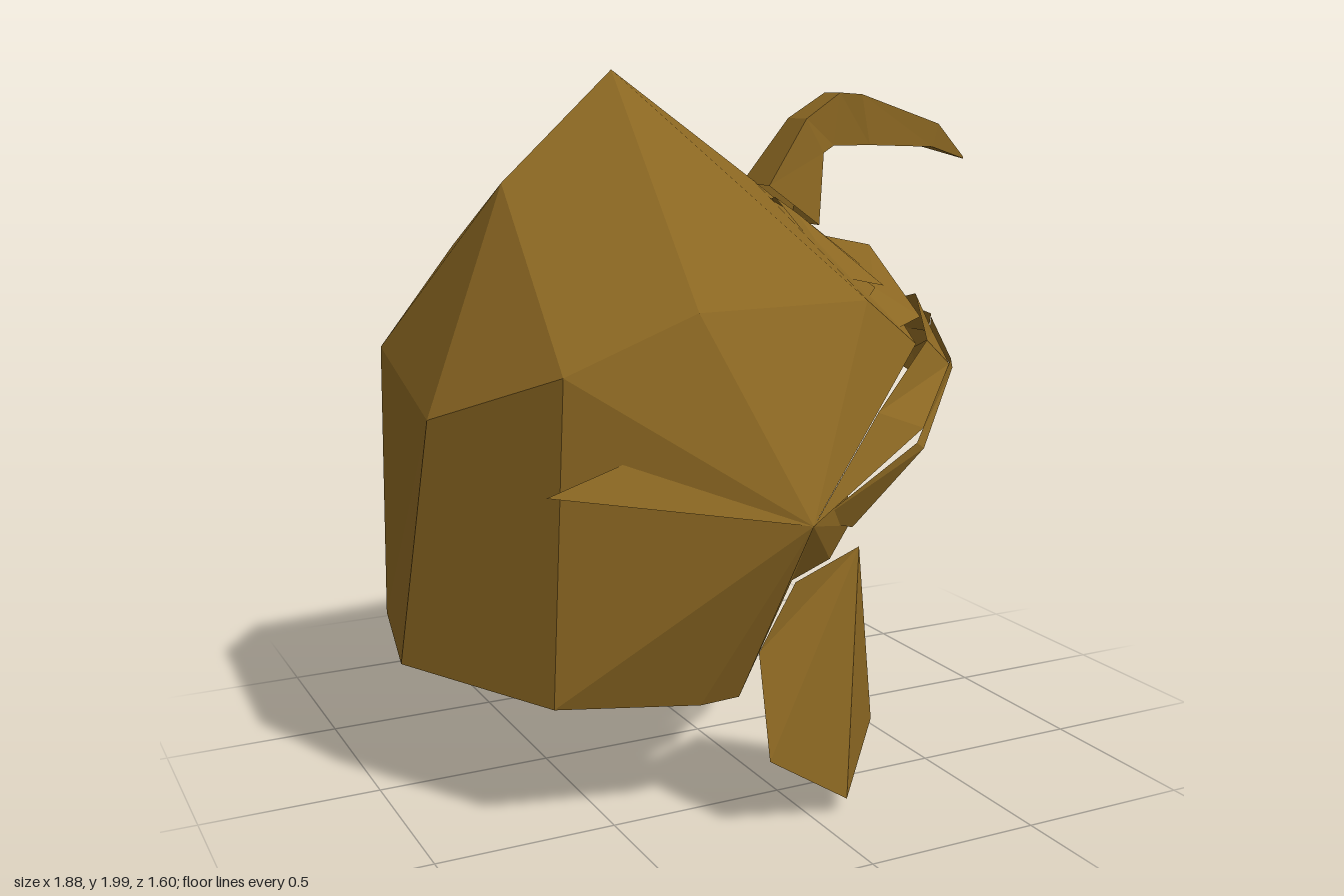
import * as THREE from 'three';

const bronze = new THREE.MeshStandardMaterial({ color: 0x8b6722, flatShading: true, side: THREE.DoubleSide });
bronze.name = 'bronze';

// Builds a faceted mesh from a list of triangles, each of three [x, y, z] corners.
function facets(name, tris) {
  const solid = tris.filter(([a, b, c]) => a !== b && b !== c && a !== c);
  const geo = new THREE.BufferGeometry();
  geo.setAttribute('position', new THREE.Float32BufferAttribute(solid.flat(2), 3));
  geo.computeVertexNormals();
  const mesh = new THREE.Mesh(geo, bronze);
  mesh.name = name;
  return mesh;
}

// Joins neighbouring sections with quads; shared corners collapse to triangles.
function loft(sections) {
  const tris = [];
  for (let i = 0; i + 1 < sections.length; i++) {
    const a = sections[i], b = sections[i + 1];
    for (let j = 0; j + 1 < Math.min(a.length, b.length); j++) {
      tris.push([a[j], a[j + 1], b[j + 1]], [a[j], b[j + 1], b[j]]);
    }
  }
  return tris;
}

// Triangles from a hub to every edge of a path.
function fan(hub, path) {
  return path.slice(1).map((p, i) => [hub, path[i], p]);
}

export function createModel() {
  const helmet = new THREE.Group();
  helmet.name = 'helmet';

  // Shell: columns from the crown down, going round from the front by +z to -z
  const crown = [-0.26, 2, -0.02];
  const forehead = [0.2, 1.68, -0.03], foreheadL = [0.28, 1.38, 0.48];
  const upperL = [-0.28, 1.39, 0.57], upperBack = [-0.62, 1.7, 0.06];
  const upperBackR = [-0.6, 1.49, -0.43], upperR = [0.08, 1.41, -0.58];
  const brow = [0.62, 1.36, 0], browL = [0.47, 1.24, 0.44], browR = [0.74, 1.25, -0.25];
  const templeL = [-0.07, 0.86, 0.8], templeR = [0, 0.77, -0.73];
  const earL = [-0.63, 1.24, 0.51], earR = [-0.4, 1.12, -0.72];
  const cheekR = [0.69, 0.88, -0.53];
  const rimL = [-0.28, 0.34, 0.58], rimBackL = [-0.67, 0.37, 0.51], rimR = [-0.26, 0.35, -0.68];
  helmet.add(facets('shell', loft([
    [crown, forehead, brow],
    [crown, foreheadL, browL],
    [crown, upperL, templeL, rimL],
    [crown, upperL, earL, rimBackL],
    [crown, upperBack, earL, rimBackL],
    [crown, upperBack, [-0.89, 1.1, 0.2], [-0.94, 0.39, 0.05]],
    [crown, upperBackR, [-0.83, 1.2, -0.43], [-0.84, 0.38, -0.44]],
    [crown, upperBackR, earR, [-0.37, 0.36, -0.72]],
    [crown, upperR, earR, rimR],
    [crown, upperR, templeR, rimR],
    [crown, upperR, cheekR],
    [crown, forehead, browR],
    [crown, forehead, brow],
  ])));

  // Inward rim and the small strap joint on the left
  helmet.add(facets('rim', fan(templeL, [
    rimL, [-0.16, 0.34, 0.57], [-0.04, 0.67, 0.64], [0.1, 0.7, 0.6], [0.17, 0.78, 0.58], [0.14, 0.9, 0.62],
  ])));

  // Pointed wing behind the temple, with its inner plate
  helmet.add(facets('templeWing', [
    [[-0.7, 0.95, 0.56], [-0.5, 1.02, 0.58], templeL],
    [[0.3, 1.2, 0.5], [-0.32, 0.87, 0.56], templeL],
  ]));

  // Brow band sweeping from the temple round to the front
  helmet.add(facets('browBand', loft([
    [templeL, templeL],
    [[0.22, 1.1, 0.64], [0.38, 1.04, 0.62]],
    [[0.5, 1.25, 0.45], [0.6, 1.17, 0.42]],
    [[0.66, 1.34, 0.15], [0.72, 1.22, 0.16]],
    [browR, [0.76, 1.2, -0.12]],
  ])));
  helmet.add(facets('lowerBand', loft([
    [[0.0, 0.84, 0.7], [0.17, 0.78, 0.6]],
    [[0.36, 1.0, 0.62], [0.39, 0.98, 0.61]],
    [[0.62, 1.18, 0.4], [0.64, 1.15, 0.38]],
    [[0.74, 1.26, 0.12], [0.77, 1.2, 0.07]],
  ])));

  // Slanted brow plate
  const plateTip = [0.09, 1.22, 0.56];
  helmet.add(facets('browPlate', loft([
    [plateTip, plateTip],
    [[0.45, 1.38, 0.25], [0.55, 1.3, 0.34]],
    [[0.56, 1.49, -0.36], [0.74, 1.45, -0.24]],
  ])));

  // Face guard hanging from the brow, and its plate running back to the right cheek
  const guardTop = [0.74, 1.27, 0.12], guardTip = [0.77, 1.05, 0.03];
  helmet.add(facets('faceGuard', fan([0.79, 1.13, -0.06], [
    guardTop, guardTip, [0.78, 1.1, -0.2], browR, [0.72, 1.3, -0.1], guardTop,
  ])));
  helmet.add(facets('guardPlate', [[cheekR, [0.75, 1.21, 0.15], browR]]));

  // Crest mount
  const mount = [
    [0.2, 1.64, 0.1], [0.32, 1.42, 0.27], [0.5, 1.38, 0.22], [0.6, 1.38, 0.02],
    [0.48, 1.42, -0.2], [0.25, 1.6, -0.12], [0.2, 1.64, 0.1],
  ];
  helmet.add(facets('crestMount', fan([0.34, 1.58, -0.01], mount)));

  // Curved horn: outer point, inner point and half width of each boxy section
  const horn = [
    [0.2, 1.67, 0.37, 1.55, 0.085],
    [0.34, 1.86, 0.4, 1.76, 0.055],
    [0.46, 1.935, 0.44, 1.78, 0.045],
    [0.53, 1.93, 0.56, 1.78, 0.055],
    [0.82, 1.84, 0.8, 1.77, 0.035],
    [0.94, 1.735, 0.94, 1.73, 0.002],
  ].map(([ox, oy, ix, iy, w]) => {
    const outer = [ox, oy, -0.02 + w];
    return [outer, [ix, iy, -0.02 + w], [ix, iy, -0.02 - w], [ox, oy, -0.02 - w], outer];
  });
  helmet.add(facets('horn', loft(horn)));

  // Cheek flaps: outer outline fanned from the top, inner side closed to one point
  function cheekFlap(name, outline, inner) {
    helmet.add(facets(name, [
      ...fan(outline[0], outline.slice(1)),
      ...fan(inner, [...outline, outline[0]]),
    ]));
  }
  cheekFlap('cheekFlapLeft', [
    [0.18, 0.73, 0.62], [-0.04, 0.67, 0.66], [-0.16, 0.5, 0.68],
    [-0.16, 0.22, 0.745], [0.1, 0.05, 0.71], [0.32, 0.16, 0.48],
  ], [-0.02, 0.4, 0.56]);
  cheekFlap('cheekFlapRight', [
    templeR, [-0.18, 0.6, -0.72], [-0.18, 0.36, -0.74],
    [-0.14, 0.2, -0.8], [0.18, 0.01, -0.72], [0.32, 0.16, -0.52],
  ], [-0.02, 0.4, -0.57]);

  return helmet;
}
